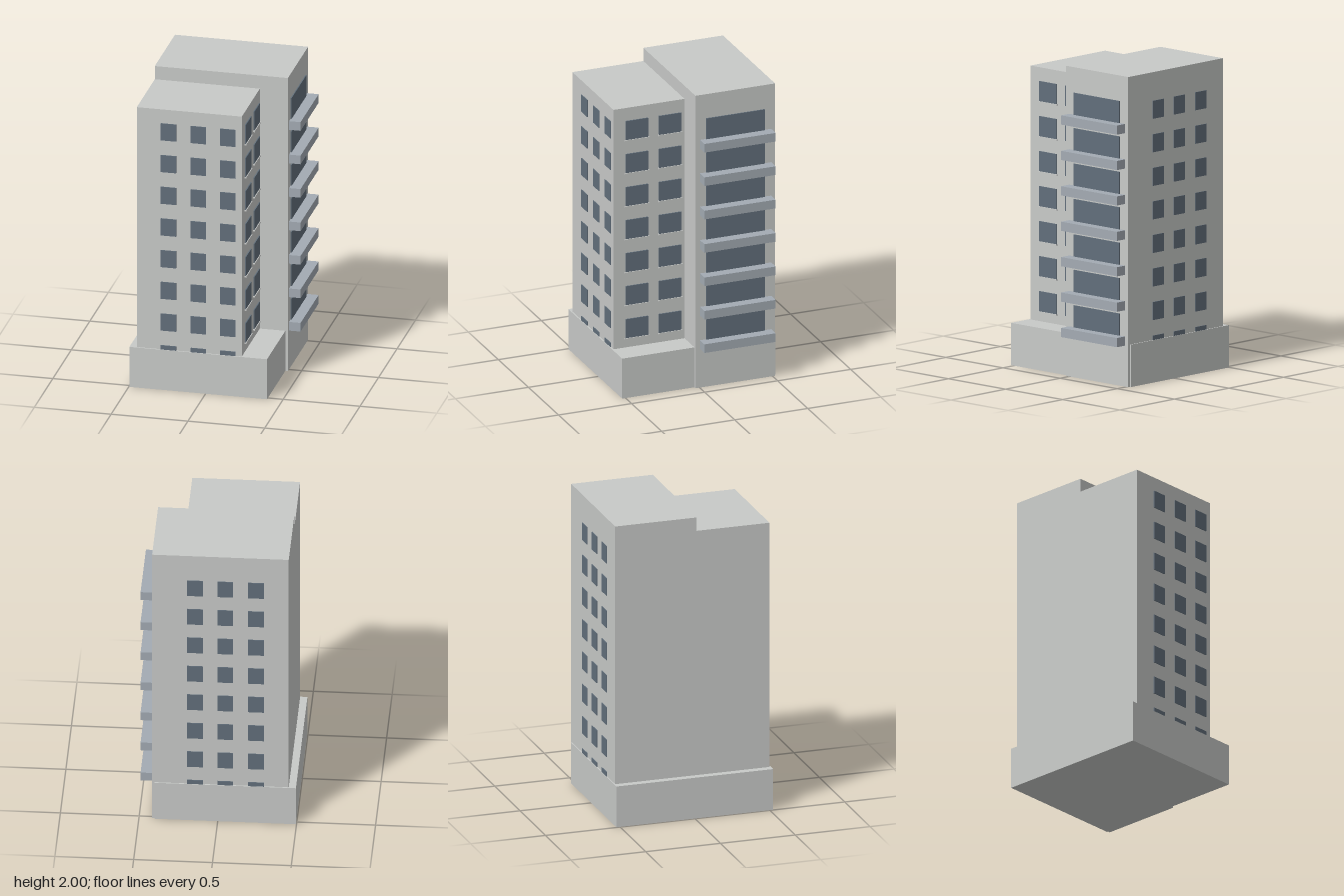
import * as THREE from 'three';

export function createModel() {
  const model = new THREE.Group();
  model.name = 'apartmentBlock';

  const concrete = new THREE.MeshStandardMaterial({ name: 'concrete', color: 0xc8cac8 });
  const glass = new THREE.MeshStandardMaterial({ name: 'windowGlass', color: 0x626f7b });
  const balconyGrey = new THREE.MeshStandardMaterial({ name: 'balconyGrey', color: 0xa3abb3 });

  // Box given by its extents along each axis
  function box(name, material, [x0, x1], [y0, y1], [z0, z1], parent = model) {
    const mesh = new THREE.Mesh(new THREE.BoxGeometry(x1 - x0, y1 - y0, z1 - z0), material);
    mesh.position.set((x0 + x1) / 2, (y0 + y1) / 2, (z0 + z1) / 2);
    mesh.name = name;
    parent.add(mesh);
  }

  function group(name) {
    const g = new THREE.Group();
    g.name = name;
    model.add(g);
    return g;
  }

  // Main masses
  box('podium', concrete, [-0.496, 0.4], [0, 0.273], [-0.525, 0.523]);
  box('rearTower', concrete, [-0.45, 0.417], [0, 2], [-0.517, 0.028]);
  box('frontTower', concrete, [-0.45, 0.234], [0.2, 1.91], [0.02, 0.514]);

  // Front and back windows; the lowest row sinks behind the podium
  const frontWindows = group('frontWindows');
  const backWindows = group('backWindows');
  for (let row = 0; row < 8; row++) {
    const top = 1.816 - row * 0.2163;
    for (const x of [-0.243, -0.048, 0.144]) {
      const xs = [x - 0.05, x + 0.05];
      const ys = [top - 0.116, top];
      box('frontWindow', glass, xs, ys, [0.512, 0.519], frontWindows);
      box('backWindow', glass, xs, ys, [-0.522, -0.515], backWindows);
    }
  }

  // Side windows with sills on the front tower
  const sideWindows = group('sideWindows');
  for (let row = 0; row < 7; row++) {
    const top = 1.822 - row * 0.2258;
    for (const z of [0.128, 0.356]) {
      box('sideWindow', glass, [0.232, 0.241], [top - 0.13, top], [z - 0.077, z + 0.077], sideWindows);
      box('windowSill', concrete, [0.232, 0.246], [top - 0.137, top - 0.129], [z - 0.083, z + 0.083], sideWindows);
    }
  }

  // Wide windows and solid balconies on the rear tower
  const balconies = group('balconies');
  for (let row = 0; row < 7; row++) {
    const floor = 1.694 - row * 0.2284;
    box('wideWindow', glass, [0.416, 0.424], [floor - 0.005, floor + 0.142], [-0.444, -0.044], balconies);
    box('balcony', balconyGrey, [0.415, 0.492], [floor - 0.059, floor], [-0.49, -0.002], balconies);
  }

  return model;
}
